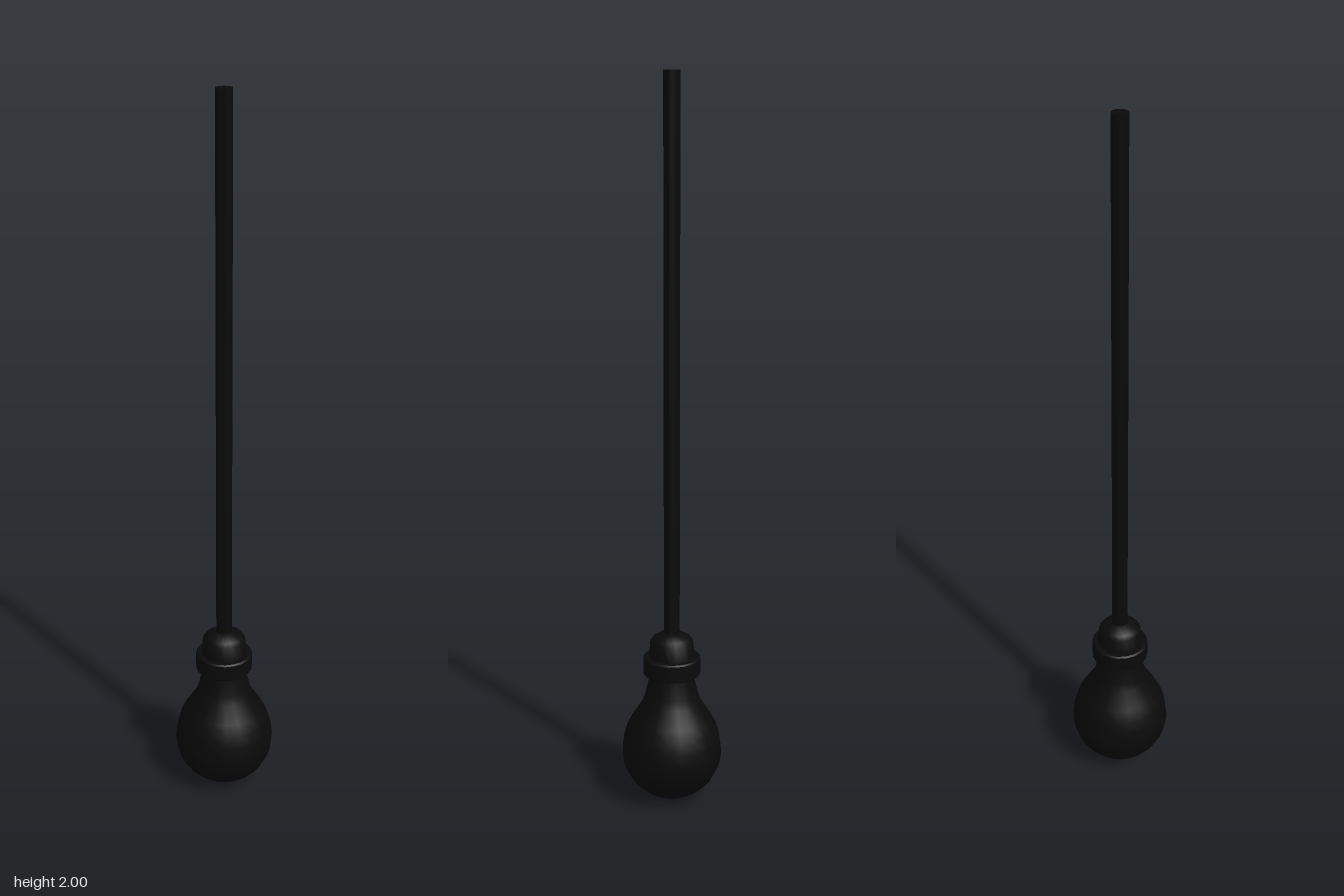
import * as THREE from 'three';
import { toCreasedNormals } from 'three/addons/utils/BufferGeometryUtils.js';

const SIDES = 20;

export function createModel() {
  const group = new THREE.Group();
  const black = new THREE.MeshStandardMaterial({ color: 0x0a0a0a });

  // Turned part from [radius, height] pairs listed bottom to top
  const turned = (name, profile) => {
    const points = profile.map(([r, y]) => new THREE.Vector2(r, y));
    const geometry = toCreasedNormals(new THREE.LatheGeometry(points, SIDES), 0.7);
    const mesh = new THREE.Mesh(geometry, black);
    mesh.name = name;
    group.add(mesh);
  };

  // Glass bulb: round belly flowing into a narrow neck
  const belly = [];
  for (let i = 0; i <= 8; i++) {
    const a = (i / 8) * Math.PI / 2;
    belly.push([0.14 * Math.sin(a), 0.145 - 0.14 * Math.cos(a)]);
  }
  belly[0][1] = 0;
  turned('bulb', [...belly, [0.136, 0.18], [0.127, 0.213], [0.111, 0.245],
    [0.081, 0.29], [0.073, 0.315], [0.066, 0.345], [0.06, 0.375], [0.058, 0.4]]);

  // Wide ring that holds the bulb
  turned('socketCollar', [[0.05, 0.372], [0.076, 0.372], [0.08, 0.376],
    [0.08, 0.42], [0.076, 0.424], [0.05, 0.424]]);

  // Tapered cap above the ring
  turned('socketCap', [[0.064, 0.42], [0.06, 0.468], [0.052, 0.478],
    [0.03, 0.492], [0, 0.492]]);

  // Hanging cord
  turned('cord', [[0, 0.48], [0.022, 0.48], [0.022, 2], [0, 2]]);

  return group;
}
